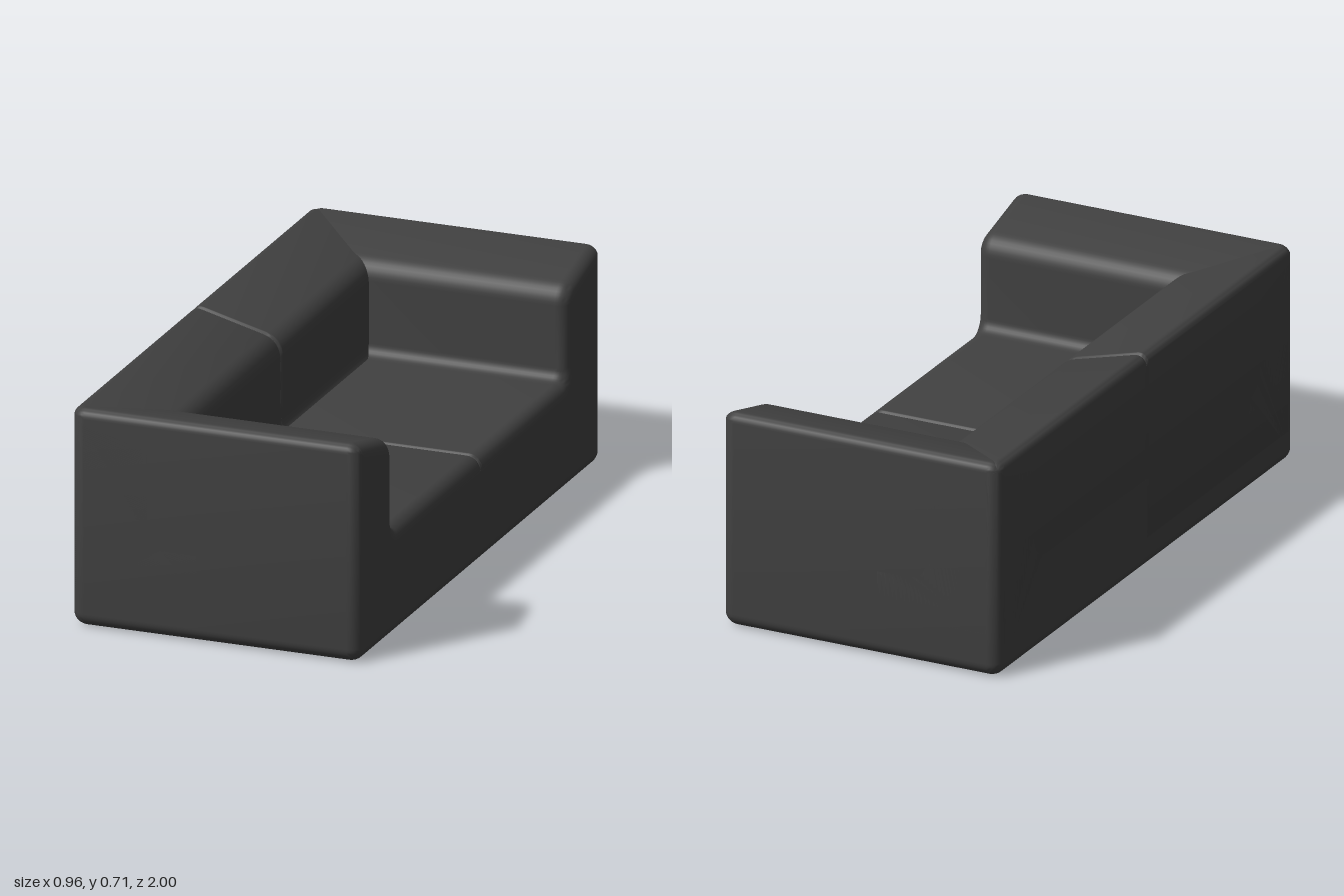
import * as THREE from 'three';
import { toCreasedNormals } from 'three/addons/utils/BufferGeometryUtils.js';

const EDGE = 0.045;   // rounding of the outer edges
const STEPS = 8;

// Replace each corner [x, y, r] by an arc of radius r
function roundCorners(corners) {
  const out = [];
  const n = corners.length;
  corners.forEach(([x, y, r], i) => {
    const p = new THREE.Vector2(x, y);
    const toward = (c) => new THREE.Vector2(c[0], c[1]).sub(p).normalize();
    const d1 = toward(corners[(i + n - 1) % n]);
    const d2 = toward(corners[(i + 1) % n]);
    const half = Math.acos(THREE.MathUtils.clamp(d1.dot(d2), -1, 1)) / 2;
    const centre = p.clone().addScaledVector(d1.clone().add(d2).normalize(), r / Math.sin(half));
    const reach = r / Math.tan(half);
    const a = p.clone().addScaledVector(d1, reach).sub(centre);
    const b = p.clone().addScaledVector(d2, reach).sub(centre);
    const turn = Math.atan2(a.cross(b), a.dot(b));
    for (let k = 0; k <= STEPS; k++) {
      out.push(a.clone().rotateAround(new THREE.Vector2(), turn * k / STEPS).add(centre));
    }
  });
  return out;
}

// Convex radii shrink with the inset, concave radii grow
const convex = (r, t) => Math.max(r - t, 0.004);

// Seat and arm, as (z, y) outline of one half, inset by t
const seatArmProfile = (t) => roundCorners([
  [0, t, 0.002],
  [1 - t, t, convex(0.045, t)],
  [1 - t, 0.72 - 1.29 * t, convex(0.03, t)],
  [0.72 + t, 0.647 - 0.77 * t, convex(0.07, t)],
  [0.72 + t, 0.35 - t, 0.04 + t],
  [0, 0.35 - t, 0.015],
]);

// Backrest, as (x, y) outline, inset by t and lowered by g at the seam
const backProfile = (t, g) => roundCorners([
  [-0.48 + t, 0.1 + t, 0.004],
  [-0.06, 0.1 + t, 0.004],
  [-0.06, 0.33 - t, 0.004],
  [-0.18 - t, 0.33 - t, 0.05],
  [-0.18 - t - g, 0.642 - 0.77 * t - g, convex(0.07, t)],
  [-0.48 + t, 0.72 - 1.29 * t - g, convex(0.03, t)],
]);

// Skin a row of equal-length outlines and close both ends
function loft(sections, place, flip) {
  const n = sections[0].points.length;
  const pos = [], index = [];
  const tri = (a, b, c) => (flip ? index.push(a, c, b) : index.push(a, b, c));
  sections.forEach(({ at, points }) => points.forEach((p) => pos.push(...place(p, at))));
  for (let s = 0; s < sections.length - 1; s++) {
    for (let i = 0; i < n; i++) {
      const j = (i + 1) % n, lo = s * n, hi = lo + n;
      tri(lo + i, lo + j, hi + j);
      tri(lo + i, hi + j, hi + i);
    }
  }
  const last = (sections.length - 1) * n;
  for (const [a, b, c] of THREE.ShapeUtils.triangulateShape(sections[0].points, [])) tri(a, c, b);
  for (const [a, b, c] of THREE.ShapeUtils.triangulateShape(sections[sections.length - 1].points, [])) {
    tri(last + a, last + b, last + c);
  }
  const geo = new THREE.BufferGeometry();
  geo.setAttribute('position', new THREE.Float32BufferAttribute(pos, 3));
  geo.setIndex(index);
  return toCreasedNormals(geo, 0.7);
}

// Quarter-round run: distance from the end face and matching inset
const quarter = (r) => Array.from({ length: STEPS + 1 }, (_, k) => {
  const a = (k / STEPS) * Math.PI / 2;
  return { depth: r * (1 - Math.cos(a)), inset: r * (1 - Math.sin(a)) };
});

export function createModel() {
  const group = new THREE.Group();
  group.name = 'sofa';
  const fabric = new THREE.MeshStandardMaterial({ color: 0x404040 });
  const edge = quarter(EDGE), seam = quarter(0.016);

  // Front to rear
  const seatArm = [
    ...edge.map((e) => ({ at: 0.48 - e.depth, points: seatArmProfile(e.inset) })),
    ...[...edge].reverse().map((e) => ({ at: -0.48 + e.depth, points: seatArmProfile(e.inset) })),
  ];
  // Middle seam to outer end
  const back = [
    ...seam.map((e) => ({ at: e.depth, points: backProfile(0, e.inset) })),
    ...[...edge].reverse().map((e) => ({ at: 1 - e.depth, points: backProfile(e.inset, 0) })),
  ];

  for (const side of [1, -1]) {
    const label = side > 0 ? 'Left' : 'Right';
    const add = (name, geo) => {
      const mesh = new THREE.Mesh(geo, fabric);
      mesh.name = name + label;
      group.add(mesh);
    };
    add('seatAndArm', loft(seatArm, (p, x) => [x, p.y, side * p.x], side < 0));
    add('backrest', loft(back, (p, z) => [p.x, p.y, side * z], side < 0));
  }
  return group;
}
